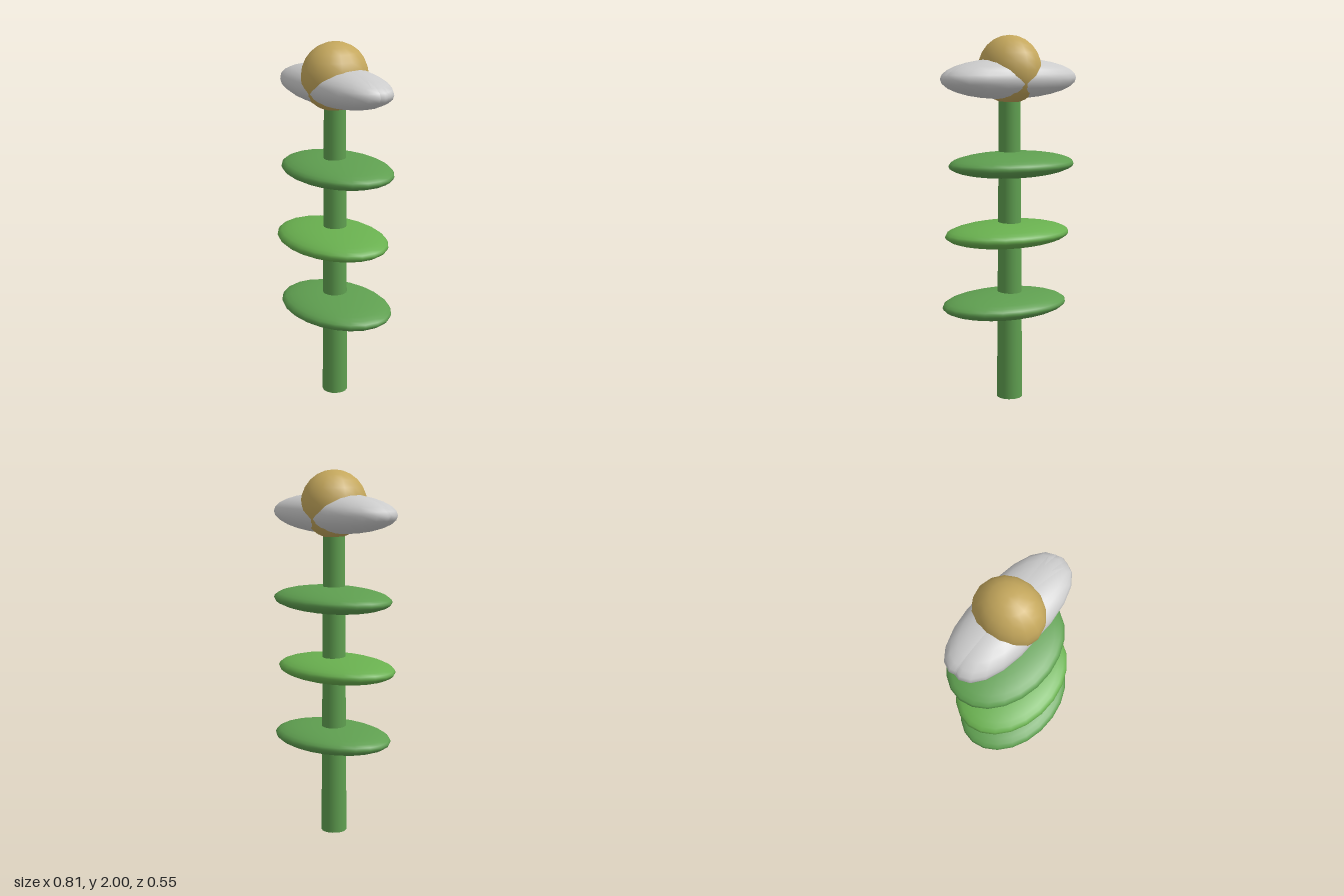
import * as THREE from 'three';

const material = (color) => new THREE.MeshStandardMaterial({ color });

// Smooth ellipsoid with given radii and centre
function ellipsoid(name, radii, centre, mat, columns = 22, rows = 16) {
  const geometry = new THREE.SphereGeometry(1, columns, rows).scale(...radii);
  const mesh = new THREE.Mesh(geometry, mat);
  mesh.name = name;
  mesh.position.set(...centre);
  return mesh;
}

export function createModel() {
  const group = new THREE.Group();
  group.name = 'flower';
  const green = material(0x5f9f50);
  const brightGreen = material(0x69b04f);
  const gold = material(0xc4a75c);
  const white = material(0xcccccc);

  // Slightly tapered stem
  const stem = new THREE.Mesh(new THREE.CylinderGeometry(0.058, 0.071, 1.72, 20), green);
  stem.name = 'stem';
  stem.position.set(-0.004, 0.86, 0);
  group.add(stem);

  // Three flat oval leaves, each a little off centre
  const leaves = [
    ['lowerLeaf', [0.02, 0.535, 0.012], green],
    ['middleLeaf', [-0.003, 0.924, 0.02], brightGreen],
    ['upperLeaf', [-0.008, 1.31, -0.018], green],
  ];
  for (const [name, centre, mat] of leaves) {
    group.add(ellipsoid(name, [0.364, 0.07, 0.261], centre, mat));
  }

  // Overlapping petals, fanned slightly around the centre
  const petals = new THREE.Group();
  petals.name = 'petals';
  for (const yaw of [-0.075, 0, 0.075]) {
    const petal = ellipsoid('petal', [0.4, 0.109, 0.174], [yaw === 0 ? 0.004 : -0.003, 1.77, 0], white, 20, 14);
    petal.rotation.y = yaw;
    petals.add(petal);
  }
  group.add(petals);

  // Round flower centre
  group.add(ellipsoid('flowerCentre', [0.168, 0.182, 0.188], [-0.004, 1.818, 0], gold, 16, 12));

  return group;
}
